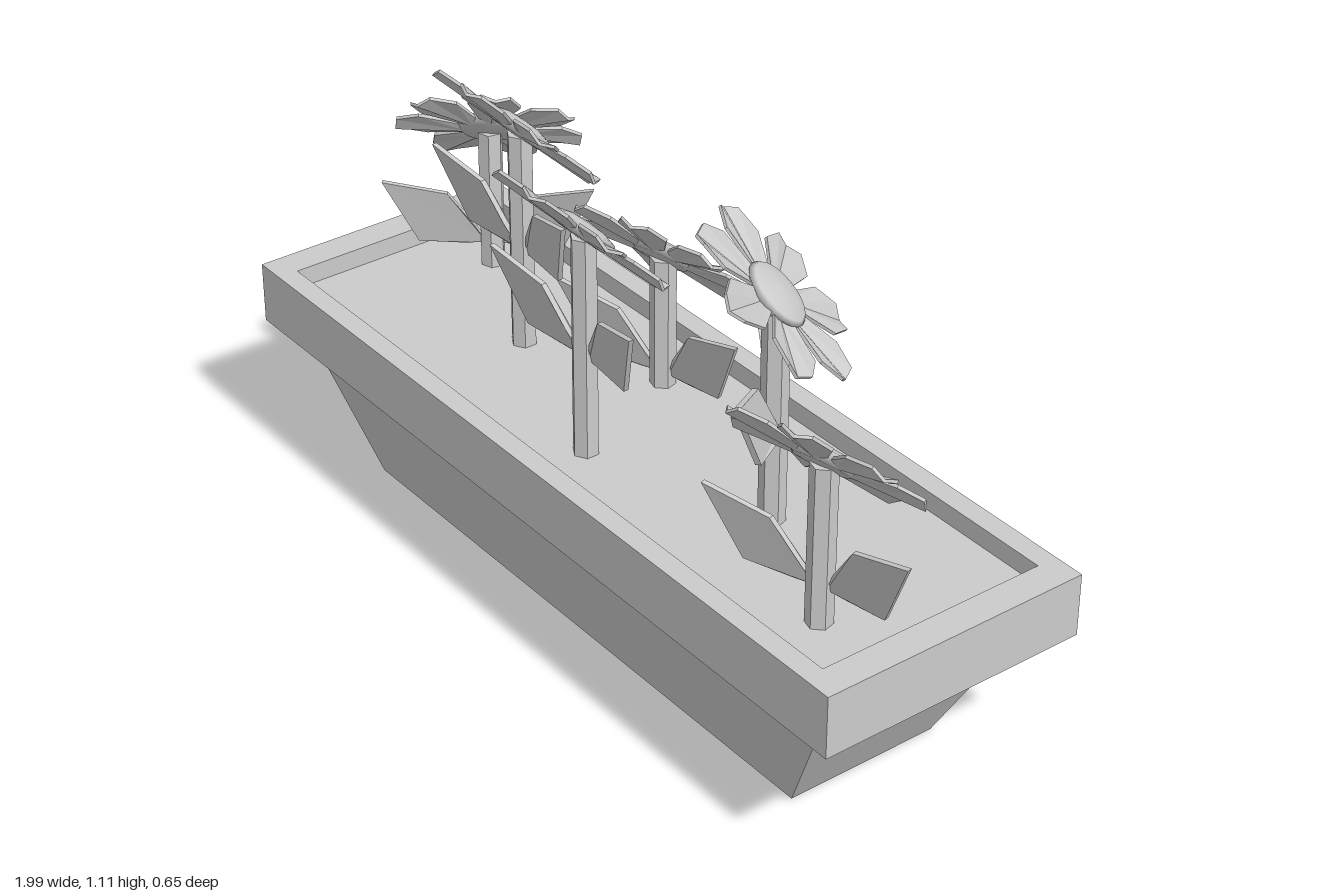
import * as THREE from 'three';

const mat = new THREE.MeshStandardMaterial({ color: 0xcccccc, flatShading: true, side: THREE.DoubleSide });
const smooth = new THREE.MeshStandardMaterial({ color: 0xcccccc });

function part(name, geometry, parent, material = mat) {
  const mesh = new THREE.Mesh(geometry, material);
  mesh.name = name;
  parent.add(mesh);
  return mesh;
}

// Thin plate: a fan from the first point, thickened along -offset; it folds along the root-to-tip line
function plate(points, offset) {
  const n = points.length;
  const back = points.map(p => p.map((v, i) => v - offset[i]));
  const index = [];
  for (let i = 1; i < n - 1; i++) index.push(0, i, i + 1, n, n + i + 1, n + i);
  for (let i = 0; i < n; i++) {
    const j = (i + 1) % n;
    index.push(i, n + i, j, j, n + i, n + j);
  }
  const g = new THREE.BufferGeometry();
  g.setAttribute('position', new THREE.Float32BufferAttribute([...points, ...back].flat(), 3));
  g.setIndex(index);
  const flat = g.toNonIndexed();
  flat.computeVertexNormals();
  return flat;
}

const mirror = ([root, ...rest]) => [root, ...rest.reverse()].map(([x, y, z]) => [-x, y, z]);

// Leaf outline, relative to the leaf root on the stem
const leafPoints = [
  [0.015, 0, 0], [0.06, -0.005, 0.0], [0.165, 0.01, 0.025], [0.237, 0.178, 0.066],
  [0.095, 0.14, 0.038], [0.04, 0.055, 0.02],
];
const leafGeometries = [leafPoints, mirror(leafPoints)].map(p => plate(p, [0, 0, 0.012]));

// Petal pointing along +z, creased down its middle
const petalGeometry = plate([
  [0, -0.008, 0.045], [-0.022, 0, 0.05], [-0.058, 0.006, 0.15], [-0.032, 0.006, 0.205],
  [0, -0.006, 0.212], [0.032, 0.006, 0.205], [0.058, 0.006, 0.15], [0.022, 0, 0.05],
].reverse().map((p, i, a) => a[(i + a.length - 1) % a.length]), [0, 0.007, 0]);

function flower(x, z, drop, yaw) {
  const g = new THREE.Group();
  g.name = 'flower';
  g.position.set(x, 0, z);
  g.rotation.y = THREE.MathUtils.degToRad(yaw);

  // Stem and a pair of leaves
  const top = 0.945 - drop, bottom = 0.4;
  part('stem', new THREE.CylinderGeometry(0.029, 0.029, top - bottom, 6), g).position.y = (top + bottom) / 2;
  for (const geo of leafGeometries) part('leaf', geo, g).position.y = 0.66 - drop;

  // Tilted head: domed centre and seven petals
  const head = new THREE.Group();
  head.name = 'flowerHead';
  head.position.y = 0.957 - drop;
  head.rotation.x = -Math.PI / 4;
  const profile = [[0, -0.018], [0.06, -0.016], [0.078, 0], [0.07, 0.009], [0.04, 0.017], [0, 0.02]];
  part('flowerCentre', new THREE.LatheGeometry(profile.map(p => new THREE.Vector2(...p)), 20), head, smooth);
  for (let i = 0; i < 7; i++) {
    part('petal', petalGeometry, head).rotation.y = 0.17 + i * Math.PI * 2 / 7;
  }
  g.add(head);
  return g;
}

function rectangle(target, w, d) {
  target.moveTo(-w, -d).lineTo(w, -d).lineTo(w, d).lineTo(-w, d).closePath();
  return target;
}

export function createModel() {
  const model = new THREE.Group();
  const planter = new THREE.Group();
  planter.name = 'planter';
  planter.position.set(-0.01, 0, 0.005);
  model.add(planter);

  // Tapered trough
  const trough = new THREE.BoxGeometry(2, 0.33, 2);
  const p = trough.attributes.position;
  for (let i = 0; i < p.count; i++) {
    const up = p.getY(i) > 0;
    p.setXYZ(i, p.getX(i) * (up ? 0.9125 : 0.735), up ? 0.33 : 0, p.getZ(i) * (up ? 0.265 : 0.183));
  }
  trough.computeVertexNormals();
  part('trough', trough, planter);

  // Overhanging rim with an open middle
  const outline = rectangle(new THREE.Shape(), 0.99, 0.32);
  outline.holes.push(rectangle(new THREE.Path(), 0.917, 0.272));
  const rim = new THREE.ExtrudeGeometry(outline, { depth: 0.145, bevelEnabled: false });
  rim.rotateX(-Math.PI / 2);
  part('rim', rim, planter).position.y = 0.33;

  // Soil
  part('soil', new THREE.BoxGeometry(1.834, 0.099, 0.544), planter).position.y = 0.381;

  // Flowers: x, z, height drop, yaw in degrees
  for (const f of [
    [-0.76, -0.14, 0.178, 48], [-0.435, 0.005, 0, 0], [-0.12, -0.135, 0.205, 15],
    [-0.003, 0.155, 0, 0], [0.422, 0.005, 0, -43], [0.745, 0.15, 0.147, 15],
  ]) model.add(flower(...f));
  return model;
}
